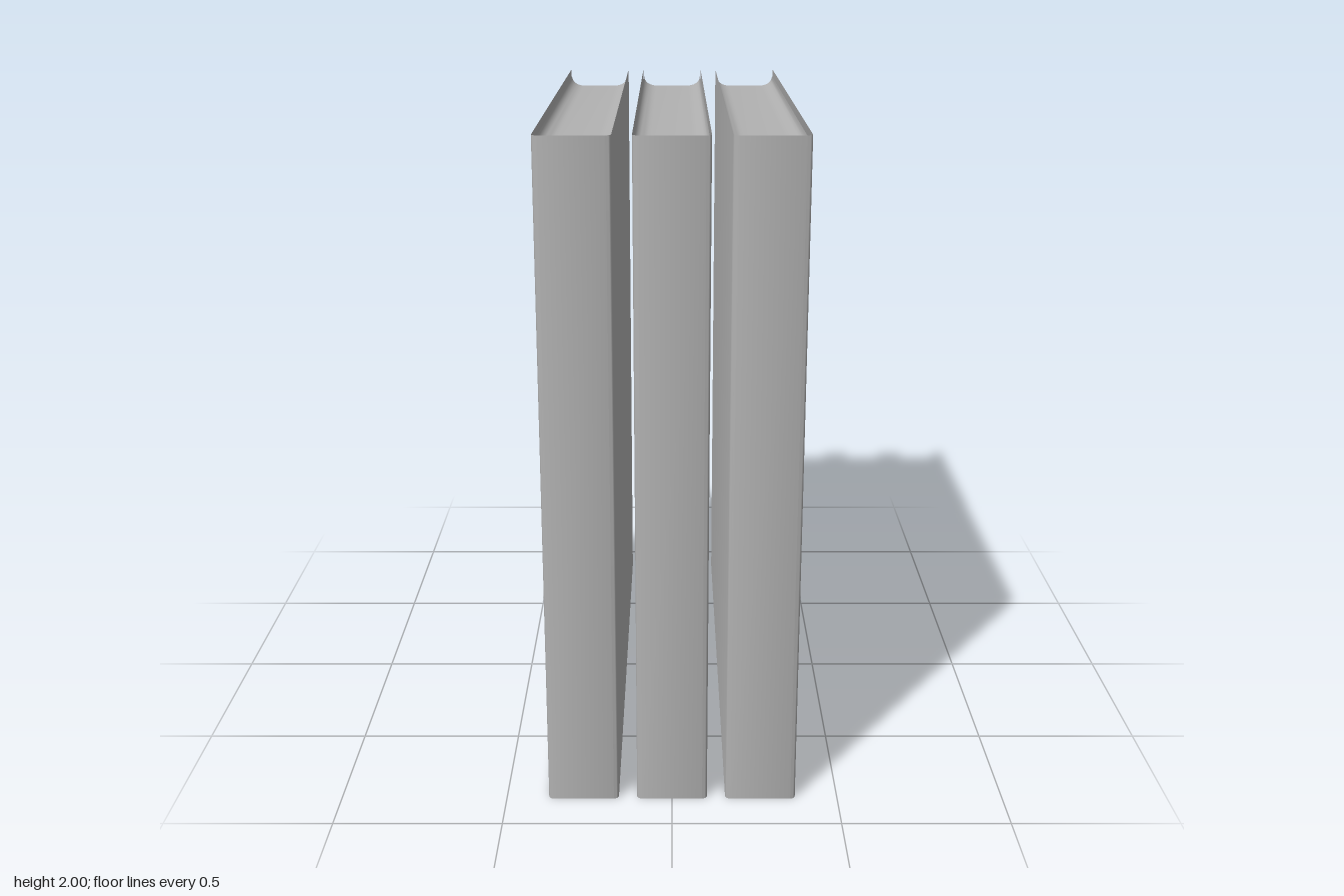
import * as THREE from 'three';
import { mergeVertices, toCreasedNormals } from 'three/addons/utils/BufferGeometryUtils.js';

const HEIGHT = 2, HALF_DEPTH = 0.867, HALF_WIDTH = 0.106, PITCH = 0.267;

// Surface through a list of equally long rows of points, with sharp edges kept
function loft(rows) {
  const n = rows[0].length, index = [];
  for (let i = 0; i < rows.length - 1; i++) {
    for (let j = 0; j < n - 1; j++) {
      const a = i * n + j, b = a + n;
      index.push(a, b, a + 1, b, b + 1, a + 1);
    }
  }
  const geometry = new THREE.BufferGeometry().setFromPoints(rows.flat());
  geometry.setIndex(index);
  return toCreasedNormals(mergeVertices(geometry), 0.7);
}

// Two cover boards and a spine with softly rounded corners, folded from one sheet
function coverGeometry() {
  const r = 0.015, w = HALF_WIDTH, d = HALF_DEPTH;
  const outline = [new THREE.Vector2(-w, -d)];
  for (let i = 0; i <= 5; i++) {
    const a = Math.PI - (i / 5) * Math.PI / 2;
    outline.push(new THREE.Vector2(-w + r + r * Math.cos(a), d - r + r * Math.sin(a)));
  }
  outline.push(...outline.map((p) => new THREE.Vector2(-p.x, p.y)).reverse());
  return loft([HEIGHT, 0].map((y) => outline.map((p) => new THREE.Vector3(p.x, y, p.y))));
}

// Page edges: one hollow channel running along the top, back and bottom
function pagesGeometry() {
  const w = 0.103, front = 0.845, margin = 0.022, depth = 0.031, curve = 0.045;
  const profile = [[-w, 0]];
  for (let i = 1; i <= 6; i++) {
    const a = (i / 6) * Math.PI / 2;
    profile.push([-w + curve * (1 - Math.cos(a)), depth * Math.sin(a)]);
  }
  profile.push(...profile.map(([x, s]) => [-x, s]).reverse());
  const path = (s) => {
    const top = HEIGHT - margin - s, bottom = margin + s, back = -HALF_DEPTH + margin + s;
    return [[top, front], [top, back], [bottom, back], [bottom, front]];
  };
  return loft(profile.map(([x, s]) => path(s).map(([y, z]) => new THREE.Vector3(x, y, z))).reverse());
}

export function createModel() {
  const grey = new THREE.MeshStandardMaterial({ color: 0xb2b2b2, side: THREE.DoubleSide });
  grey.name = 'grey';
  const model = new THREE.Group();
  model.name = 'books';
  const parts = { cover: coverGeometry(), pages: pagesGeometry() };

  // Three equal books in a row
  ['rightBook', 'middleBook', 'leftBook'].forEach((name, i) => {
    const book = new THREE.Group();
    book.name = name;
    book.position.x = (i - 1) * PITCH;
    for (const [part, geometry] of Object.entries(parts)) {
      const mesh = new THREE.Mesh(geometry, grey);
      mesh.name = part;
      book.add(mesh);
    }
    model.add(book);
  });
  return model;
}
